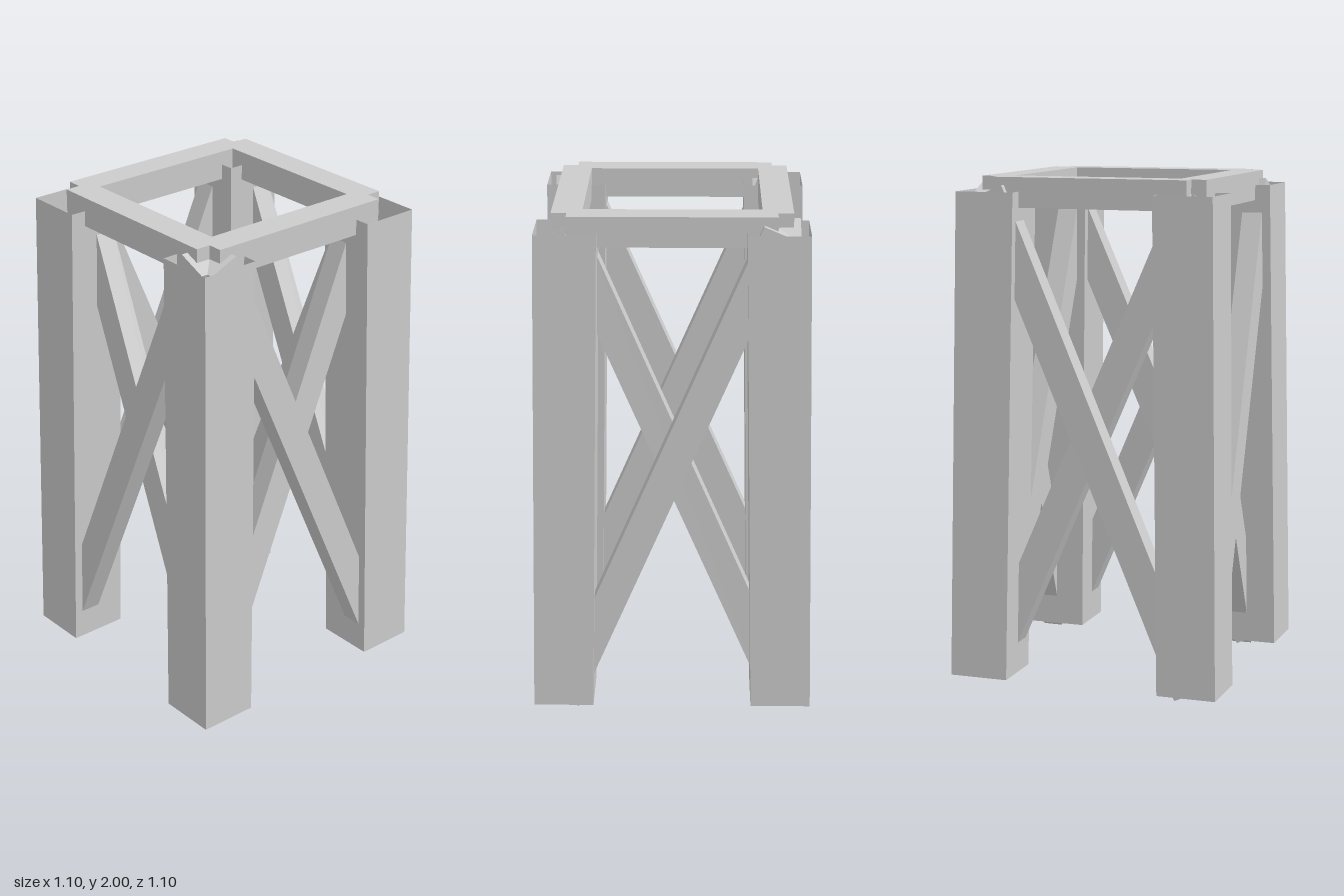
import * as THREE from 'three';

const Y0 = 0.025, Y1 = 1.945;      // leg bottom and top
const C0 = 0.431, C1 = 0.398;      // leg centre offset at bottom and top
const LEG = 0.236;                 // leg section
const BAR_W = 0.124, BAR_D = 0.083; // brace section
const BEAM = 0.117;                // top frame section

const grey = new THREE.MeshStandardMaterial({ color: 0xcccccc, flatShading: true });
const greyOpen = new THREE.MeshStandardMaterial({ color: 0xcccccc, flatShading: true, side: THREE.DoubleSide });

function add(parent, name, geometry, material = grey) {
  const mesh = new THREE.Mesh(geometry, material);
  mesh.name = name;
  parent.add(mesh);
  return mesh;
}

// Open square tube, sheared so that it leans inwards towards the top
function legGeometry(sx, sz) {
  const g = new THREE.CylinderGeometry(LEG / Math.SQRT2, LEG / Math.SQRT2, Y1 - Y0, 4, 1, true);
  g.rotateY(Math.PI / 4);
  g.translate(0, (Y0 + Y1) / 2, 0);
  const p = g.attributes.position;
  for (let i = 0; i < p.count; i++) {
    const c = THREE.MathUtils.mapLinear(p.getY(i), Y0, Y1, C0, C1);
    p.setX(i, p.getX(i) + sx * c);
    p.setZ(i, p.getZ(i) + sz * c);
  }
  g.computeVertexNormals();
  return g;
}

// Diagonal bar on the +z side; s = 1 rises to +x, offset shifts it out or in
function braceGeometry(s, offset) {
  const a = new THREE.Vector3(-s * C0, Y0, C0 + offset);
  const b = new THREE.Vector3(s * C1, Y1, C1 + offset);
  const along = b.clone().sub(a);
  const length = along.length();
  along.normalize();
  const across = new THREE.Vector3().crossVectors(along, new THREE.Vector3(0, 0, 1)).normalize();
  const out = new THREE.Vector3().crossVectors(across, along);
  const m = new THREE.Matrix4().makeBasis(across, along, out);
  m.setPosition(a.add(b).multiplyScalar(0.5));
  return new THREE.BoxGeometry(BAR_W, length, BAR_D).applyMatrix4(m);
}

export function createModel() {
  const model = new THREE.Group();
  model.name = 'tower';

  // Four leaning hollow legs
  for (const sx of [-1, 1])
    for (const sz of [-1, 1])
      add(model, 'leg', legGeometry(sx, sz), greyOpen);

  // Each side: a crossed pair of braces and one beam of the top frame
  for (let i = 0; i < 4; i++) {
    const side = new THREE.Group();
    side.name = 'sideFrame';
    side.rotation.y = i * Math.PI / 2;
    const s = i % 2 ? -1 : 1; // neighbouring sides are mirrored
    add(side, 'outerBrace', braceGeometry(s, BAR_D / 2));
    add(side, 'innerBrace', braceGeometry(-s, -BAR_D / 2));
    add(side, 'topBeam', new THREE.BoxGeometry(2 * C1 - 0.006, BEAM, BEAM))
      .position.set(0, 2 - BEAM / 2, 0.396);
    model.add(side);
  }
  return model;
}
